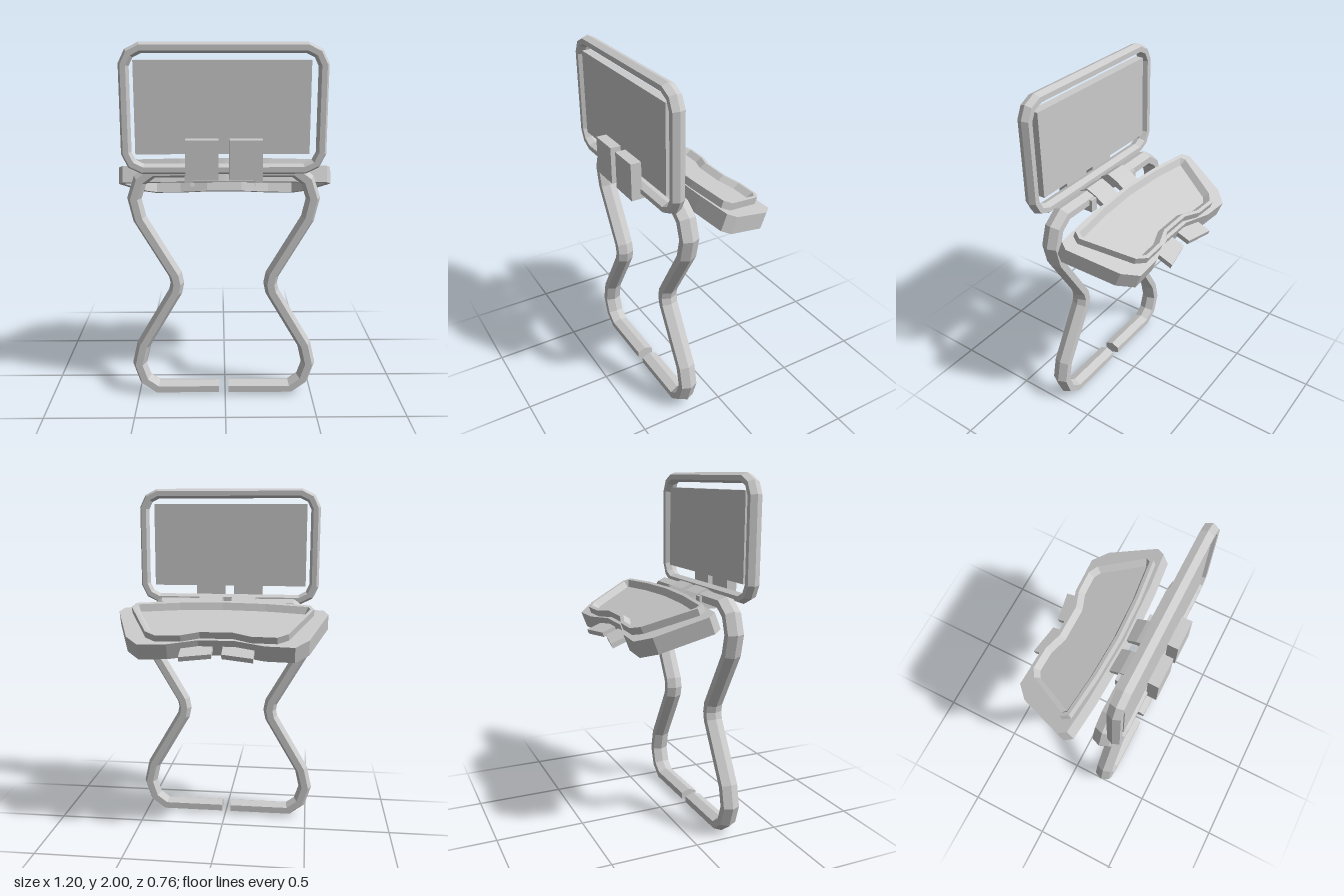
import * as THREE from 'three';

const mat = new THREE.MeshStandardMaterial({ color: 0xcccccc, flatShading: true });
const MID = -0.0075; // the clips and legs mirror about this line

function add(parent, name, geo, x = 0, y = 0, z = 0) {
  const mesh = new THREE.Mesh(geo, mat);
  mesh.name = name;
  mesh.position.set(x, y, z);
  parent.add(mesh);
  return mesh;
}

// Shift a 2D outline sideways with mitred corners
function offset(pts, d, closed) {
  const n = pts.length;
  const normal = (a, b) => {
    const l = Math.hypot(b[0] - a[0], b[1] - a[1]);
    return [-(b[1] - a[1]) / l, (b[0] - a[0]) / l];
  };
  return pts.map((p, i) => {
    const prev = closed ? pts[(i + n - 1) % n] : pts[i - 1];
    const next = closed ? pts[(i + 1) % n] : pts[i + 1];
    const a = prev ? normal(prev, p) : normal(p, next);
    const b = next ? normal(p, next) : a;
    const k = d / (1 + a[0] * b[0] + a[1] * b[1]);
    return [p[0] + (a[0] + b[0]) * k, p[1] + (a[1] + b[1]) * k];
  });
}

// Skin neighbouring rings of points with quads
function skin(rings, closedPath, closedRings, capTriangles = []) {
  const out = [];
  const n = rings[0].length, m = rings.length;
  for (let k = 0; k < (closedRings ? m : m - 1); k++) {
    const r = rings[k], s = rings[(k + 1) % m];
    for (let i = 0; i < (closedPath ? n : n - 1); i++) {
      const j = (i + 1) % n;
      out.push(...r[i], ...r[j], ...s[j], ...r[i], ...s[j], ...s[i]);
    }
  }
  capTriangles.forEach(t => t.forEach(p => out.push(...p)));
  const geo = new THREE.BufferGeometry();
  geo.setAttribute('position', new THREE.Float32BufferAttribute(out, 3));
  geo.computeVertexNormals();
  return geo;
}

// Six-sided bar along a flat path, with its ridges in the plane of the path
function hexBar(path, w, d, closed) {
  const section = [[0.5, 1], [1, 0], [0.5, -1], [-0.5, -1], [-1, 0], [-0.5, 1]];
  const rings = section.map(([o, z]) => offset(path, o * w, closed).map(p => [p[0], p[1], z * d]));
  const caps = [];
  if (!closed) {
    const a = rings.map(r => r[0]), b = rings.map(r => r[path.length - 1]);
    for (let i = 1; i < 5; i++) caps.push([a[0], a[i], a[i + 1]], [b[0], b[i + 1], b[i]]);
  }
  return skin(rings, closed, true, caps);
}

// Profile in z and y, extruded across x and centred there
function acrossX(profile, width) {
  const shape = new THREE.Shape(profile.map(p => new THREE.Vector2(...p)));
  return new THREE.ExtrudeGeometry(shape, { depth: width, bevelEnabled: false })
    .rotateY(-Math.PI / 2).translate(width / 2, 0, 0);
}

// Full outline from its right half, which runs from front centre to back centre
const mirrored = half => [...half, ...half.slice(1, -1).reverse().map(([x, z]) => [-x, z])];

export function createModel() {
  const model = new THREE.Group();
  model.name = 'foldingStand';

  // Upper rounded frame and panel
  const corner = [[0, 0.085], [0.028, 0.028], [0.085, 0]];
  const W = 0.512, B = 1.348, T = 1.972;
  const frame = [
    ...corner.map(([a, b]) => [-W + a, B + b]),
    ...[...corner].reverse().map(([a, b]) => [W - a, B + b]),
    ...corner.map(([a, b]) => [W - a, T - b]),
    ...[...corner].reverse().map(([a, b]) => [-W + a, T - b]),
  ];
  add(model, 'upperFrame', hexBar(frame, 0.028, 0.035, true), -0.008, 0, 0.29);
  add(model, 'panel', new THREE.BoxGeometry(0.91, 0.48, 0.05), -0.015, 1.67, 0.29);

  // Hourglass legs, symmetric about mid height
  const mid = 0.68;
  const low = [[0.0275, 0.038], [0.385, 0.038], [0.455, 0.09], [0.488, 0.19], [0.462, 0.305], [0.272, 0.63]];
  const legPath = [...low, [0.262, mid], ...[...low].reverse().map(([x, y]) => [x, 2 * mid - y])];
  add(model, 'leftLeg', hexBar(legPath, 0.038, 0.048, false), MID, 0, 0.205);
  add(model, 'rightLeg', hexBar([...legPath].reverse().map(([x, y]) => [-x, y]), 0.038, 0.048, false), MID, 0, 0.205);

  // Tilted tray: hollow underneath, raised rim and sunken floor on top
  const tray = new THREE.Group();
  tray.name = 'tray';
  tray.position.set(0, 1.243, 0.116);
  tray.rotation.x = -0.367;
  model.add(tray);
  const body = mirrored([[0, 0], [0.36, -0.017], [0.575, -0.04], [0.602, -0.088], [0.5, -0.37],
    [0.425, -0.448], [0.265, -0.44], [0.1, -0.392], [0, -0.392]]);
  const rim = mirrored([[0, -0.015], [0.25, -0.026], [0.5, -0.055], [0.522, -0.1], [0.39, -0.375],
    [0.33, -0.415], [0.19, -0.41], [0.09, -0.372], [0, -0.372]]);
  const levels = [[body, 0.03, 0.07], [body, 0.03, 0], [body, 0, 0], [body, 0, 0.095],
    [rim, 0, 0.095], [rim, 0, 0.135], [rim, 0.02, 0.135], [rim, 0.045, 0.1]];
  const rings = levels.map(([o, inset, y]) => offset(o, -inset, true).map(([x, z]) => [x, y, z]));
  const cap = (ring, flip) => THREE.ShapeUtils
    .triangulateShape(ring.map(p => new THREE.Vector2(p[0], -p[2])), [])
    .map(t => (flip ? [...t].reverse() : t).map(i => ring[i]));
  add(tray, 'trayShell', skin(rings, true, false, [...cap(rings[0], true), ...cap(rings[7], false)]));

  for (const s of [1, -1]) {
    const side = s > 0 ? 'left' : 'right';
    const x = MID + s * 0.114;

    // Front clip with a lip under the upper frame
    add(model, side + 'Clip', new THREE.BoxGeometry(0.173, 0.21, 0.06), x, 1.407, 0.347);
    add(model, side + 'ClipLip', new THREE.BoxGeometry(0.173, 0.025, 0.09), x, 1.315, 0.3);

    // Strap bent over the leg bar, with a collar beside it
    add(model, side + 'Strap', acrossX([[0.265, 1.3], [0.265, 1.335], [0.205, 1.372], [0.145, 1.345],
      [0.08, 1.3], [0.08, 1.275], [0.15, 1.305]], 0.14), MID + s * 0.0975);
    add(model, side + 'Collar', new THREE.BoxGeometry(0.045, 0.075, 0.11), MID + s * 0.188, 1.3, 0.195);

    // Strap under the tray and its slanted tip behind
    add(tray, side + 'TrayStrap', new THREE.BoxGeometry(0.165, 0.015, 0.36), x, 0.062, -0.21);
    const tip = new THREE.Shape([[0.0275, 0.385], [0.2, 0.385], [0.2, 0.507], [0.0275, 0.472]]
      .map(([u, v]) => new THREE.Vector2(s * u, v)));
    add(tray, side + 'StrapTip', new THREE.ExtrudeGeometry(tip, { depth: 0.028, bevelEnabled: false })
      .rotateX(-Math.PI / 2), MID, 0.03, 0);
  }
  return model;
}
